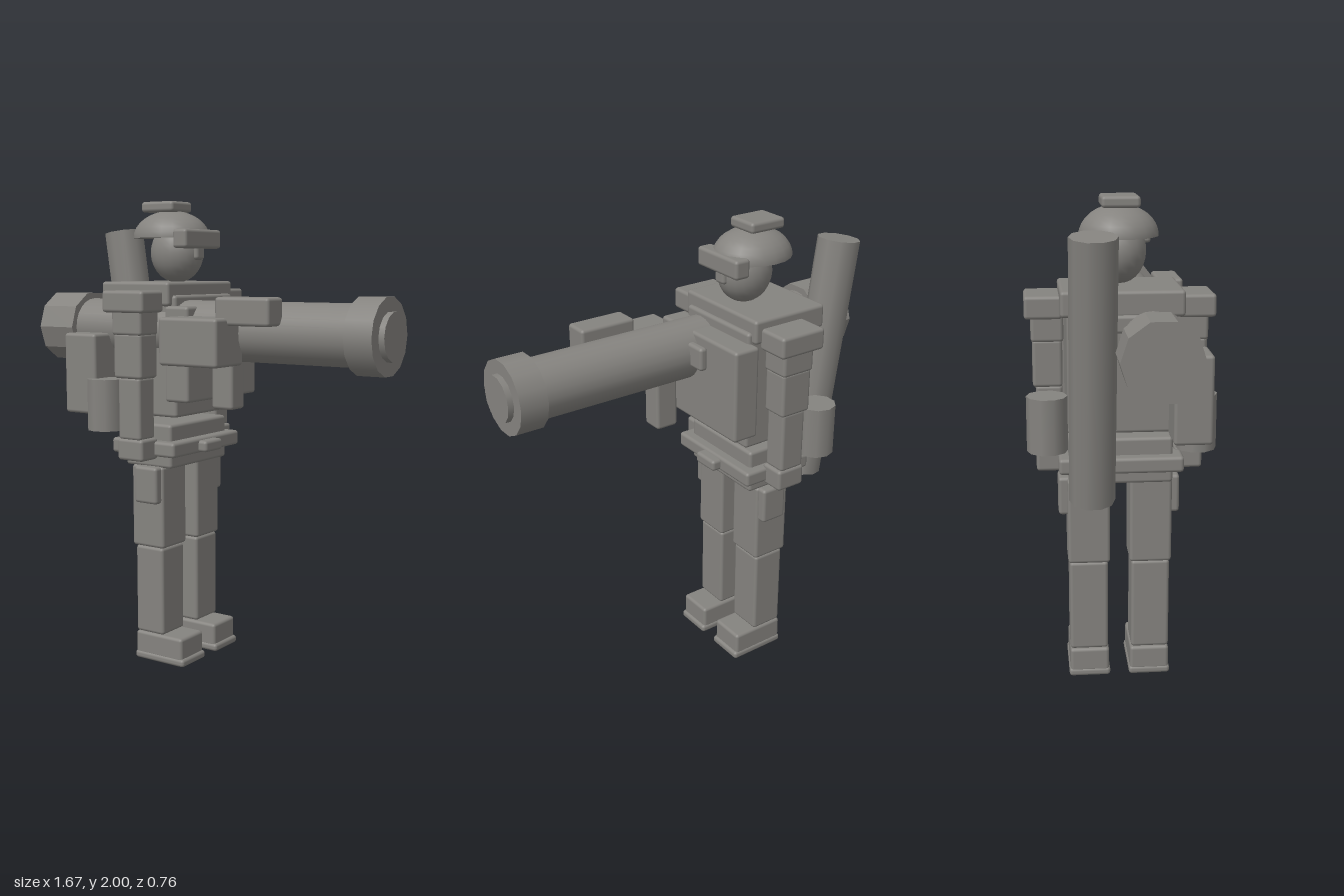
import * as THREE from 'three';
import { RoundedBoxGeometry } from 'three/addons/geometries/RoundedBoxGeometry.js';

export function createModel() {
  const model = new THREE.Group();
  const grey = new THREE.MeshStandardMaterial({ color: 0x85837f });
  grey.name = 'warm grey';

  const add = (name, geometry, x, y, z) => {
    const mesh = new THREE.Mesh(geometry, grey);
    mesh.name = name;
    mesh.position.set(x, y, z);
    model.add(mesh);
    return mesh;
  };
  // Rounded box given by its limits on each axis
  const box = (name, x0, x1, y0, y1, z0, z1, r = 0.014) => {
    const w = x1 - x0, h = y1 - y0, d = z1 - z0;
    const radius = Math.min(r, w * 0.4, h * 0.4, d * 0.4);
    return add(name, new RoundedBoxGeometry(w, h, d, 2, radius), (x0 + x1) / 2, (y0 + y1) / 2, (z0 + z1) / 2);
  };
  // Cylinder lying along x
  const barrel = (name, x0, x1, r, sides, flat = false) => {
    let g = new THREE.CylinderGeometry(r, r, x1 - x0, sides);
    if (flat) {
      g = g.toNonIndexed();
      g.computeVertexNormals();
    }
    add(name, g, (x0 + x1) / 2, 1.46, 0.103).rotation.z = -Math.PI / 2;
  };

  // Legs and arms, mirrored about the body's middle plane
  const mid = -0.008;
  for (const [side, s] of [['right', 1], ['left', -1]]) {
    const pair = (name, x0, x1, y0, y1, a, b) => {
      const z = [mid + s * a, mid + s * b].sort((p, q) => p - q);
      return box(side + name, x0, x1, y0, y1, z[0], z[1]);
    };
    pair('Sole', -0.36, -0.095, 0, 0.035, 0.039, 0.212);
    pair('Boot', -0.357, -0.107, 0.02, 0.125, 0.044, 0.207);
    pair('Shin', -0.353, -0.206, 0.125, 0.515, 0.048, 0.206);
    pair('Thigh', -0.365, -0.197, 0.515, 0.875, 0.04, 0.212);
    pair('ThighPouch', -0.325, -0.206, 0.715, 0.875, 0.19, 0.247);
    pair('ShoulderPad', -0.387, -0.172, 1.535, 1.625, 0.225, 0.372);
    pair('Sleeve', -0.357, -0.203, 1.44, 1.55, 0.22, 0.347);
    pair('UpperArm', -0.352, -0.207, 1.26, 1.45, 0.225, 0.342);
    pair('Forearm', -0.34, -0.224, 1.0, 1.265, 0.225, 0.33);
    pair('Hand', -0.345, -0.212, 0.912, 1.005, 0.22, 0.333);
    add(side + 'Canteen', new THREE.CylinderGeometry(0.08, 0.08, 0.22, 10), -0.438, 1.14, mid + s * 0.291);
  }

  // Torso
  box('hips', -0.4, -0.155, 0.87, 1.06, -0.215, 0.2);
  box('belt', -0.445, -0.11, 0.925, 0.99, -0.255, 0.24);
  box('buckle', -0.125, -0.07, 0.93, 0.98, -0.067, 0.06);
  box('torso', -0.44, -0.125, 1.092, 1.605, -0.22, 0.2);
  box('chestPlate', -0.147, -0.028, 1.165, 1.562, -0.267, 0.25);
  box('shoulderYoke', -0.5, -0.142, 1.56, 1.66, -0.245, 0.228);
  box('backStrap', -0.512, -0.41, 1.5, 1.57, -0.19, 0.19);
  box('sidePack', -0.637, -0.465, 1.095, 1.44, 0.17, 0.32);

  // Head and helmet
  add('head', new THREE.SphereGeometry(1, 20, 14), -0.267, 1.782, -0.005).scale.set(0.119, 0.127, 0.106);
  box('nose', -0.2, -0.137, 1.752, 1.81, -0.033, 0.027);
  add('helmet', new THREE.SphereGeometry(1, 20, 8, 0, Math.PI * 2, 0, Math.PI / 2), -0.3, 1.845, -0.01)
    .scale.set(0.172, 0.118, 0.155);
  const brim = add('helmetUnderside', new THREE.CircleGeometry(1, 20), -0.3, 1.845, -0.01);
  brim.rotation.x = Math.PI / 2;
  brim.scale.set(0.172, 0.155, 1);
  box('helmetTopPlate', -0.41, -0.24, 1.955, 2.0, -0.083, 0.065);
  box('goggles', -0.195, -0.123, 1.8, 1.88, -0.135, 0.128);

  // Shoulder launcher
  barrel('launcherTube', -0.66, 0.71, 0.124, 24);
  barrel('launcherRearDrum', -0.835, -0.648, 0.154, 10, true);
  barrel('launcherMuzzleRing', 0.69, 0.808, 0.154, 14);
  barrel('launcherMuzzleCap', 0.8, 0.832, 0.097, 14);
  box('launcherControlBox', -0.078, 0.205, 1.33, 1.523, 0.19, 0.383);
  box('launcherGrip', 0.025, 0.128, 1.138, 1.36, 0.06, 0.157);
  box('launcherSight', 0.143, 0.395, 1.493, 1.605, 0.195, 0.307);
  box('launcherLatch', -0.022, 0.015, 1.43, 1.53, -0.09, 0.01);

  // Spare tube slung on the back
  add('spareTube', new THREE.CylinderGeometry(0.09, 0.09, 1.045, 10), -0.587, 1.364, -0.13).rotation.z = 0.147;

  return model;
}
